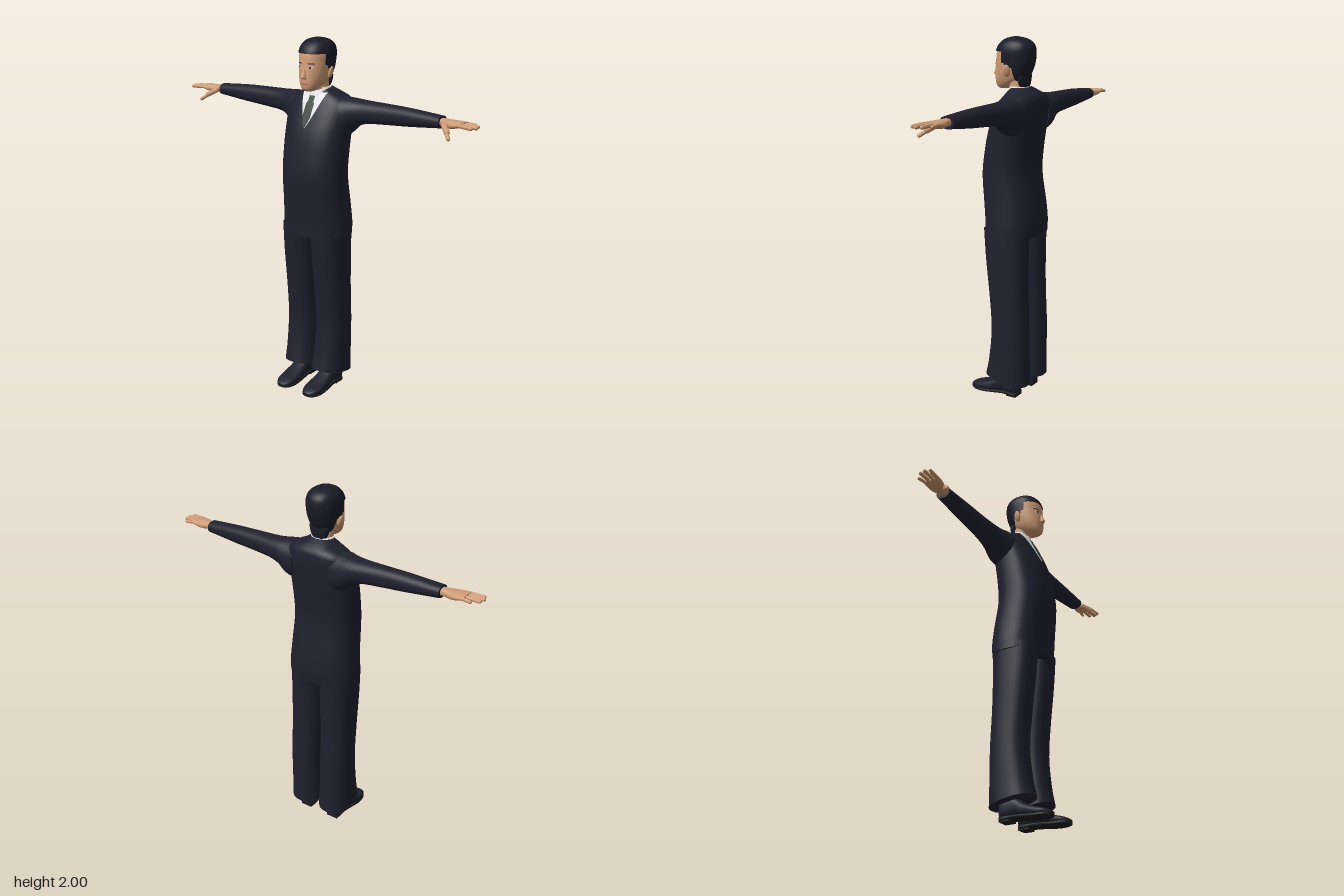
import * as THREE from 'three';

const mat = (name, color, side = THREE.FrontSide) => {
  const m = new THREE.MeshStandardMaterial({ color, side });
  m.name = name;
  return m;
};

// Smooth interpolation of section rows [t, aMin, aMax, bMin, bMax]
function sample(rows, t) {
  let i = 0;
  while (i < rows.length - 2 && t > rows[i + 1][0]) i++;
  const p = rows[i], q = rows[i + 1], h = q[0] - p[0], s = THREE.MathUtils.clamp((t - p[0]) / h, 0, 1);
  const o = rows[Math.max(i - 1, 0)], r = rows[Math.min(i + 2, rows.length - 1)];
  return [1, 2, 3, 4].map((k) => {
    const m0 = (q[k] - o[k]) / (q[0] - o[0]) * h, m1 = (r[k] - p[k]) / (r[0] - p[0]) * h;
    const s2 = s * s, s3 = s2 * s;
    return (2 * s3 - 3 * s2 + 1) * p[k] + (s3 - 2 * s2 + s) * m0 + (3 * s2 - 2 * s3) * q[k] + (s3 - s2) * m1;
  });
}

// Superelliptic loft; axis order keeps (t, a, b) right-handed: y->(z,x), x->(y,z), z->(x,y)
const place = { x: (t, a, b) => [t, a, b], y: (t, a, b) => [b, t, a], z: (t, a, b) => [a, b, t] };
function loft(rows, { axis = 'y', n = 2.3, seg = 32, sub = 4, grow = 0, from = -9, to = 9, edge = null, caps = true } = {}) {
  const ts = [];
  rows.forEach((r, i) => {
    if (i === rows.length - 1) return ts.push(r[0]);
    for (let j = 0; j < sub; j++) ts.push(r[0] + (rows[i + 1][0] - r[0]) * j / sub);
  });
  const levels = [...new Set([from, ...ts, to].map((t) => THREE.MathUtils.clamp(t, Math.max(from, ts[0]), Math.min(to, ts.at(-1)))))];
  const pos = [], idx = [], w = seg + 1;
  const ring = (t) => {
    const [a0, a1, b0, b1] = sample(rows, t), ca = (a0 + a1) / 2, cb = (b0 + b1) / 2;
    const ra = (a1 - a0) / 2 + grow, rb = (b1 - b0) / 2 + grow, pts = [];
    let start = 0;
    if (edge) {
      const u = THREE.MathUtils.clamp((edge(t) - ca) / ra, -1, 1);
      start = Math.acos(Math.sign(u) * Math.abs(u) ** (n / 2));
    }
    for (let j = 0; j <= seg; j++) {
      const th = start + (2 * Math.PI - 2 * start) * j / seg, c = Math.cos(th), s = Math.sin(th);
      pts.push(place[axis](t, ca + ra * Math.sign(c) * Math.abs(c) ** (2 / n), cb + rb * Math.sign(s) * Math.abs(s) ** (2 / n)));
    }
    return { pts, mid: place[axis](t, ca, cb) };
  };
  levels.forEach((t) => ring(t).pts.forEach((p) => pos.push(...p)));
  for (let i = 0; i < levels.length - 1; i++) for (let j = 0; j < seg; j++) {
    const k = edge ? j + 1 : (j + 1) % seg;
    const a = i * w + j, b = i * w + k, c = a + w, d = b + w;
    idx.push(a, b, d, a, d, c);
  }
  if (caps) [levels[0], levels.at(-1)].forEach((t, e) => {
    const { pts, mid } = ring(t), base = pos.length / 3;
    pos.push(...mid);
    pts.forEach((p) => pos.push(...p));
    for (let j = 1; j <= seg; j++) e ? idx.push(base, base + j, base + j + 1) : idx.push(base, base + j + 1, base + j);
  });
  return build(pos, idx);
}

function build(pos, idx) {
  const g = new THREE.BufferGeometry();
  g.setAttribute('position', new THREE.Float32BufferAttribute(pos, 3));
  g.setIndex(idx);
  g.computeVertexNormals();
  return g;
}

// Thin sheet laid over the front of a vertical loft between span(y) = [xLeft, xRight]
function patch(rows, n, y0, y1, span, lift, nu = 10, nv = 12) {
  const pos = [], idx = [];
  for (let i = 0; i <= nv; i++) {
    const y = y0 + (y1 - y0) * i / nv, [z0, z1, , rx] = sample(rows, y), [l, r] = span(y);
    for (let j = 0; j <= nu; j++) {
      const x = l + (r - l) * j / nu, u = Math.min(1, Math.abs(x) / rx);
      pos.push(x, y, (z0 + z1) / 2 + (z1 - z0) / 2 * (1 - u ** n) ** (1 / n) + lift);
      if (i < nv && j < nu) {
        const a = i * (nu + 1) + j, c = a + nu + 1;
        idx.push(a, a + 1, c + 1, a, c + 1, c);
      }
    }
  }
  return build(pos, idx);
}
const oval = (cx, cy, w, h) => (y) => {
  const k = w * Math.sqrt(Math.max(0, 1 - ((y - cy) / h) ** 2));
  return [cx - k, cx + k];
};
const rod = (a, b, r) => {
  const p = new THREE.Vector3(...a), d = new THREE.Vector3(...b).sub(p), len = d.length();
  const g = new THREE.CapsuleGeometry(r, Math.max(0.001, len - r), 5, 10);
  g.applyQuaternion(new THREE.Quaternion().setFromUnitVectors(new THREE.Vector3(0, 1, 0), d.clone().normalize()));
  return g.translate(...p.addScaledVector(d, 0.5).toArray());
};
function mirrored(g) {
  const m = g.clone().scale(-1, 1, 1), a = m.index.array;
  for (let i = 0; i < a.length; i += 3) [a[i], a[i + 1]] = [a[i + 1], a[i]];
  m.computeVertexNormals();
  return m;
}
const sym = (rows) => rows.map(([y, z0, z1, r]) => [y, z0, z1, -r, r]);

export function createModel() {
  const model = new THREE.Group();
  const suit = mat('suit navy', 0x20202e), hairM = mat('hair', 0x1a1b27, THREE.DoubleSide), skin = mat('skin', 0xcf9c76);
  const white = mat('shirt white', 0xe4e4e6, THREE.DoubleSide), tieM = mat('tie green grey', 0x38443e, THREE.DoubleSide);
  const lip = mat('lips', 0xb27660), dark = mat('eye dark', 0x2c211d), sole = mat('sole', 0x1b1d1d);
  const add = (name, g, m) => {
    const mesh = new THREE.Mesh(g, m);
    mesh.name = name;
    model.add(mesh);
  };
  const pair = (name, g, m) => { add(name + 'Left', g, m); add(name + 'Right', mirrored(g), m); };

  // Jacket body
  const torso = sym([[0.93, -0.185, 0.108, 0.2], [1.0, -0.19, 0.11, 0.197], [1.1, -0.182, 0.119, 0.19], [1.27, -0.157, 0.131, 0.184],
    [1.4, -0.163, 0.113, 0.187], [1.5, -0.175, 0.09, 0.19], [1.6, -0.184, 0.05, 0.196], [1.66, -0.184, 0.02, 0.19],
    [1.69, -0.175, 0.004, 0.155], [1.715, -0.15, -0.008, 0.1], [1.735, -0.12, -0.02, 0.066]]);
  add('jacket', loft(torso, { n: 2.4, seg: 48 }), suit);

  // Shirt front, collar and tie
  add('shirtFront', patch(torso, 2.4, 1.53, 1.715, (y) => { const w = 0.078 * ((y - 1.53) / 0.185) ** 0.8; return [-w, w]; }, 0.004, 16, 16), white);
  add('collar', loft(sym([[1.67, -0.13, 0.016, 0.076], [1.7, -0.125, 0.008, 0.074], [1.74, -0.108, -0.008, 0.064]]), { n: 2 }), white);
  add('tie', patch(torso, 2.4, 1.535, 1.695, (y) => { const w = y > 1.665 ? 0.018 : 0.006 + 0.02 * Math.min(1, (y - 1.535) / 0.05); return [-w, w]; }, 0.0095), tieM);

  // Sleeves
  pair('sleeve', loft([[0.12, 1.48, 1.695, -0.175, 0.015], [0.18, 1.495, 1.692, -0.176, 0.0], [0.22, 1.535, 1.688, -0.173, -0.02],
    [0.28, 1.56, 1.684, -0.166, -0.035], [0.4, 1.572, 1.682, -0.153, -0.046], [0.55, 1.583, 1.678, -0.145, -0.049],
    [0.74, 1.602, 1.665, -0.135, -0.05]], { axis: 'x', n: 2.2 }), suit);

  // Hands
  pair('palm', loft([[0.73, 1.615, 1.655, -0.118, -0.066], [0.76, 1.615, 1.654, -0.118, -0.062], [0.8, 1.611, 1.653, -0.127, -0.043],
    [0.84, 1.619, 1.652, -0.131, -0.034], [0.87, 1.63, 1.65, -0.129, -0.034]], { axis: 'x', n: 2.5, seg: 20 }), skin);
  [[-0.121, -0.126, 0.915, 0.0085], [-0.096, -0.092, 0.948, 0.01], [-0.07, -0.062, 0.954, 0.01], [-0.045, -0.034, 0.942, 0.01]]
    .forEach(([z0, z1, x, r], i) => pair('finger' + (i + 1), rod([0.85, 1.639, z0], [x - 0.004, 1.635, z1], r), skin));
  pair('thumbBase', rod([0.765, 1.63, -0.062], [0.812, 1.598, -0.02], 0.015), skin);
  pair('thumbTip', rod([0.8, 1.605, -0.03], [0.835, 1.574, 0.006], 0.01), skin);

  // Trousers, with hems dropping toward the heel
  const leg = loft([[0.1, -0.168, 0.085, 0.002, 0.19], [0.2, -0.166, 0.066, 0.008, 0.188], [0.4, -0.164, 0.046, 0.014, 0.188],
    [0.6, -0.156, 0.06, 0.01, 0.188], [0.8, -0.155, 0.082, 0.004, 0.19], [0.97, -0.16, 0.095, 0.001, 0.19]], { n: 2.5 });
  const lp = leg.attributes.position;
  for (let i = 0; i < lp.count; i++) {
    lp.setY(i, lp.getY(i) + (lp.getZ(i) + 0.04) * 0.2 * Math.max(0, 1 - (lp.getY(i) - 0.1) / 0.2));
  }
  leg.computeVertexNormals();
  pair('trouserLeg', leg, suit);

  // Shoes
  const shoe = [[-0.112, 0.07, 0.12, 0.02, 0.08], [-0.1, 0.054, 0.136, 0.012, 0.12], [-0.03, 0.052, 0.138, 0.016, 0.13], [0.03, 0.046, 0.144, 0.012, 0.09],
    [0.1, 0.04, 0.15, 0.006, 0.06], [0.15, 0.045, 0.144, 0.006, 0.046], [0.183, 0.063, 0.124, 0.009, 0.032], [0.193, 0.083, 0.104, 0.013, 0.022]];
  pair('shoe', loft(shoe, { axis: 'z', n: 2.5, seg: 24 }), suit);
  pair('shoeSole', loft(shoe.map(([z, l, r, y]) => [z, l, r, Math.max(0, y - 0.007), y + 0.012]), { axis: 'z', n: 5, seg: 24 }), sole);
  pair('shoeHeel', new THREE.BoxGeometry(0.07, 0.028, 0.06).translate(0.095, 0.014, -0.076), sole);

  // Head and neck
  const head = sym([[1.726, 0.005, 0.066, 0.026], [1.74, -0.03, 0.079, 0.044], [1.77, -0.082, 0.084, 0.063], [1.8, -0.108, 0.084, 0.073],
    [1.84, -0.127, 0.081, 0.08], [1.88, -0.137, 0.077, 0.083], [1.92, -0.139, 0.072, 0.085], [1.95, -0.134, 0.06, 0.08],
    [1.975, -0.115, 0.038, 0.066], [1.992, -0.083, 0.01, 0.04], [2.0, -0.045, -0.025, 0.008]]);
  add('head', loft(head, { n: 2.2, seg: 40, to: 1.985 }), skin);
  add('neck', loft(sym([[1.69, -0.1, -0.005, 0.055], [1.8, -0.1, 0.01, 0.052]]), { n: 2 }), skin);
  add('nose', loft(sym([[1.79, 0.06, 0.085, 0.01], [1.797, 0.06, 0.1, 0.017], [1.806, 0.06, 0.103, 0.014], [1.83, 0.06, 0.092, 0.009], [1.86, 0.06, 0.08, 0.006]]),
    { n: 2, seg: 16 }), skin);
  pair('ear', new THREE.SphereGeometry(1, 16, 12).scale(0.011, 0.034, 0.021).rotateZ(-0.25).rotateY(0.3).translate(0.092, 1.825, -0.028), skin);

  // Hair cap, then sides and nape left open around the face
  add('hairCap', loft(head, { n: 2.2, seg: 40, grow: 0.006, from: 1.924 }), hairM);
  const hairline = (y) => y > 1.865 ? 0.008 : y > 1.84 ? -0.012 : -0.052 - (1.84 - y) * 0.15;
  add('hairSides', loft(head, { n: 2.2, seg: 32, sub: 6, grow: 0.006, from: 1.755, to: 1.924, edge: hairline, caps: false }), hairM);
  add('nape', loft(sym([[1.735, -0.108, -0.06, 0.04], [1.77, -0.112, -0.06, 0.056], [1.8, -0.112, -0.06, 0.062]]), { n: 2.2, seg: 24 }), hairM);

  // Facial features
  pair('eyeWhite', patch(head, 2.2, 1.848, 1.86, oval(0.034, 1.854, 0.014, 0.006), 0.002), white);
  pair('iris', patch(head, 2.2, 1.848, 1.86, oval(0.034, 1.854, 0.006, 0.006), 0.0035), dark);
  pair('eyebrow', patch(head, 2.2, 1.871, 1.877, oval(0.036, 1.874, 0.019, 0.003), 0.002), dark);
  add('mouth', patch(head, 2.2, 1.761, 1.773, oval(0, 1.767, 0.024, 0.006), 0.003), lip);
  return model;
}
